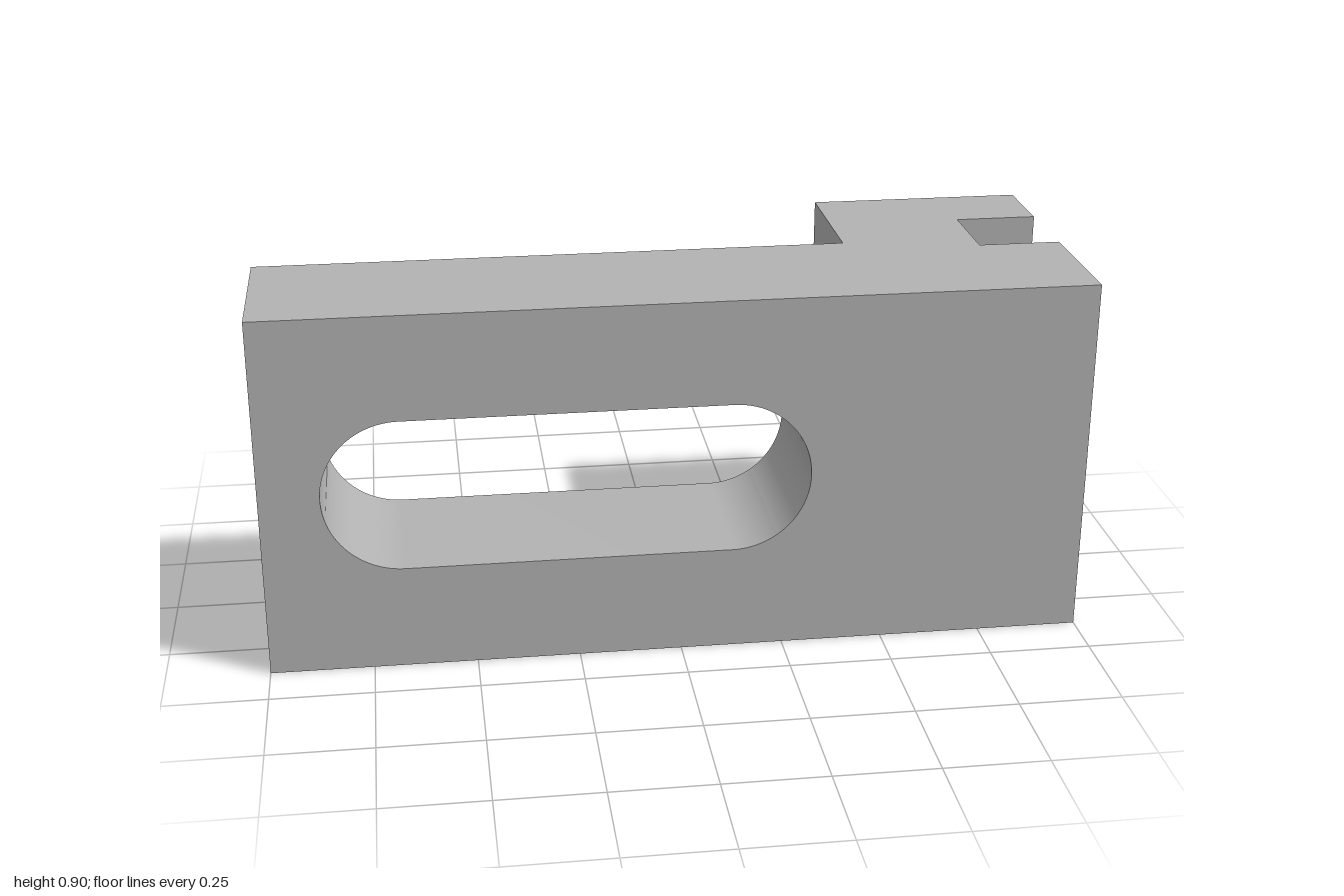
import * as THREE from 'three';
import { toCreasedNormals } from 'three/addons/utils/BufferGeometryUtils.js';

const HEIGHT = 0.9;
const FRONT = 0.375;      // front face z
const PLATE_BACK = -0.02; // rear face of the slotted plate
const STEP_X = 0.46;      // where the thicker end block begins

const polygon = (points) => new THREE.Shape(points.map(([x, y]) => new THREE.Vector2(x, y)));

function extrude(shape, depth) {
  const geometry = new THREE.ExtrudeGeometry(shape, { depth, bevelEnabled: false, curveSegments: 32 });
  return toCreasedNormals(geometry, Math.PI / 6);
}

export function createModel() {
  const group = new THREE.Group();
  group.name = 'slottedBracket';
  const grey = new THREE.MeshStandardMaterial({ color: 0xb2b2b2 });
  grey.name = 'grey';

  const add = (name, geometry) => {
    const mesh = new THREE.Mesh(geometry, grey);
    mesh.name = name;
    group.add(mesh);
  };

  // Plate with a round-ended slot, extruded front to back
  const plate = polygon([[-1, 0], [STEP_X, 0], [STEP_X, HEIGHT], [-1, HEIGHT]]);
  const slot = new THREE.Path();
  const r = 0.19, left = -0.665, right = 0.125, midY = HEIGHT / 2;
  slot.absarc(right, midY, r, -Math.PI / 2, Math.PI / 2, false);
  slot.absarc(left, midY, r, Math.PI / 2, Math.PI * 1.5, false);
  slot.closePath();
  plate.holes.push(slot);
  add('slottedPlate', extrude(plate, FRONT - PLATE_BACK).translate(0, 0, PLATE_BACK));

  // End block with an upright side groove, drawn in plan (x, -z) and extruded upward
  const block = polygon([
    [STEP_X, -FRONT], [1, -FRONT], [1, -0.04], [0.795, -0.04],
    [0.795, 0.175], [1, 0.175], [1, 0.375], [STEP_X, 0.375],
  ]);
  add('groovedEndBlock', extrude(block, HEIGHT).rotateX(-Math.PI / 2));

  return group;
}
